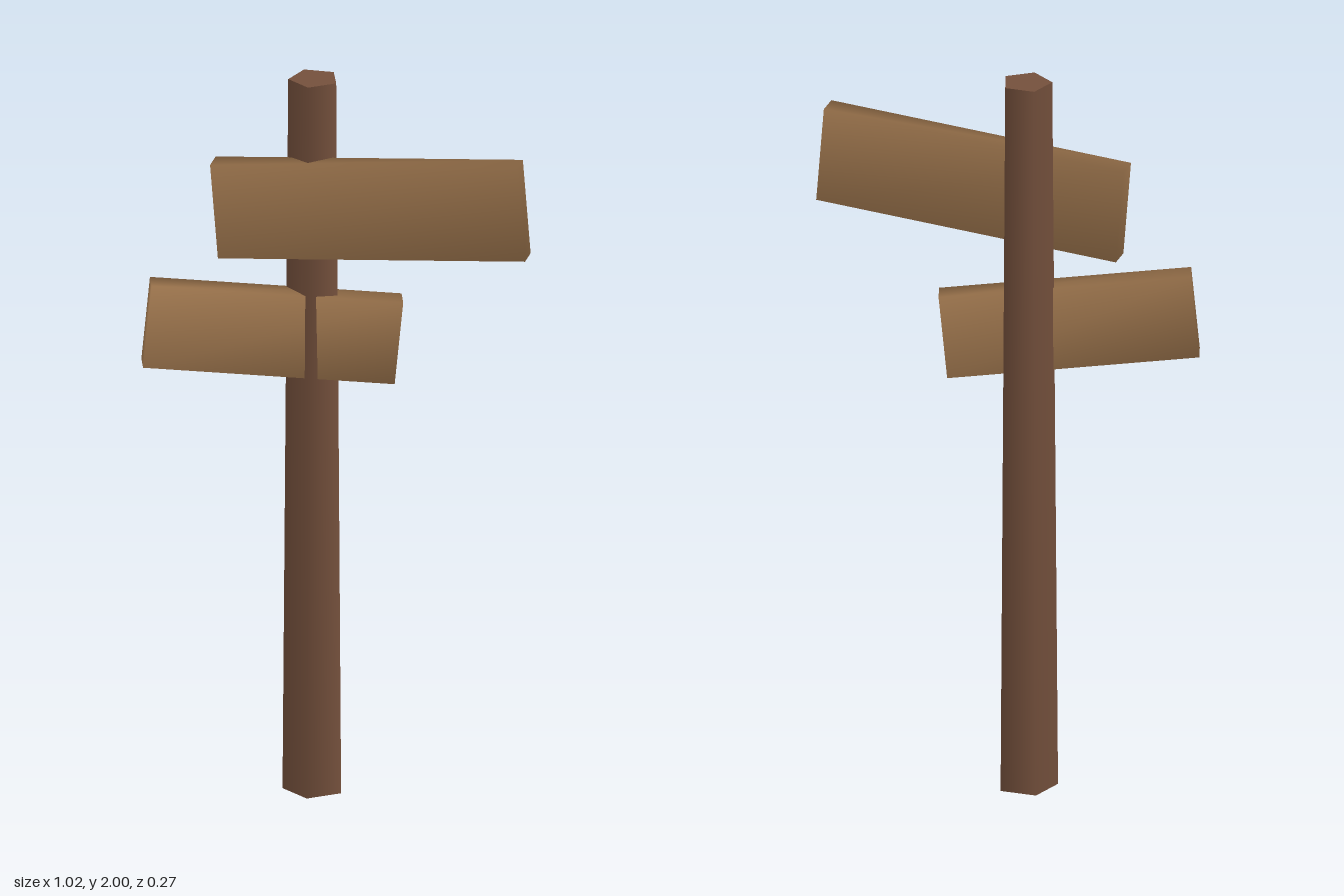
import * as THREE from 'three';
import { mergeVertices } from 'three/addons/utils/BufferGeometryUtils.js';

const postWood = new THREE.MeshStandardMaterial({ color: 0x74503c });
postWood.name = 'dark post wood';
const boardWood = new THREE.MeshStandardMaterial({ color: 0xa67c52 });
boardWood.name = 'light board wood';

// Plank with shared corners, so its shading runs softly over the edges
function makeBoard(name, size, position, yaw, tilt) {
  const box = new THREE.BoxGeometry(...size);
  box.deleteAttribute('normal');
  box.deleteAttribute('uv');
  const geometry = mergeVertices(box);
  geometry.computeVertexNormals();
  const board = new THREE.Mesh(geometry, boardWood);
  board.name = name;
  board.position.set(...position);
  board.rotation.set(0, THREE.MathUtils.degToRad(yaw), THREE.MathUtils.degToRad(tilt));
  return board;
}

export function createModel() {
  const group = new THREE.Group();
  group.name = 'signpost';

  // Five-sided tapered post, one edge towards the front
  const post = new THREE.Mesh(new THREE.CylinderGeometry(0.068, 0.083, 2, 5), postWood);
  post.name = 'post';
  post.position.set(-0.08, 1, -0.063);
  group.add(post);

  // Two tilted sign boards
  group.add(makeBoard('upperBoard', [0.83, 0.262, 0.063], [0.086, 1.67, -0.002], 0, 4.6));
  group.add(makeBoard('lowerBoard', [0.664, 0.231, 0.065], [-0.178, 1.303, -0.002], 17.3, -5.6));

  return group;
}
